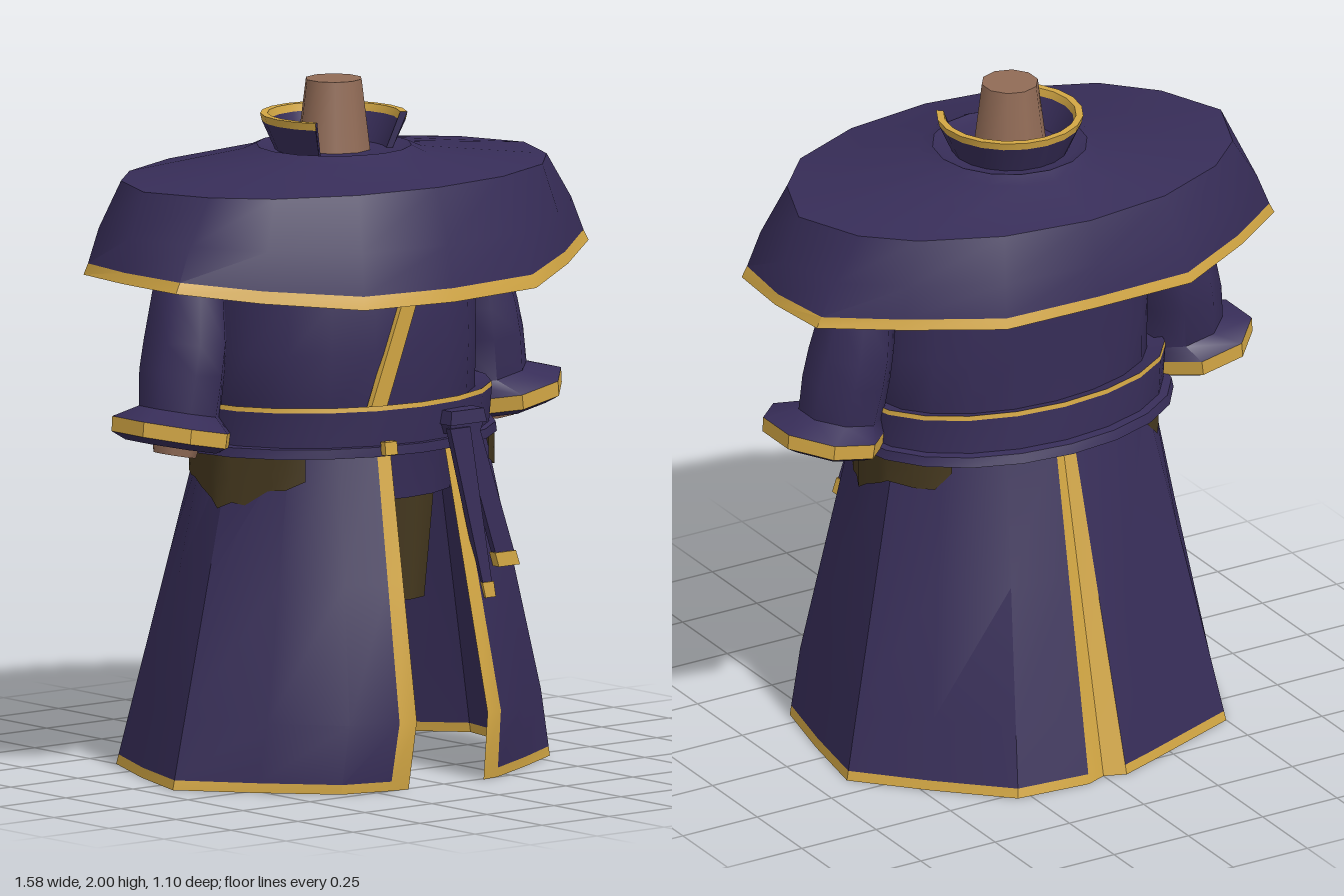
import * as THREE from 'three';
import { toCreasedNormals } from 'three/addons/utils/BufferGeometryUtils.js';

const flat = (name, color) => new THREE.MeshStandardMaterial({ name, color, side: THREE.DoubleSide });
const lerp = THREE.MathUtils.lerp;

// Sheet through rows of [x, y, z] points; keep(row, col) picks which cells belong to it
function sheet(rows, keep = () => true, crease = 0.75) {
  const pos = [];
  for (let r = 0; r < rows.length - 1; r++) {
    for (let c = 0; c < rows[r].length - 1; c++) {
      if (!keep(r, c)) continue;
      const a = rows[r][c], b = rows[r][c + 1], d = rows[r + 1][c], e = rows[r + 1][c + 1];
      pos.push(...a, ...d, ...b, ...b, ...d, ...e);
    }
  }
  const g = new THREE.BufferGeometry();
  g.setAttribute('position', new THREE.Float32BufferAttribute(pos, 3));
  return toCreasedNormals(g, crease);
}

// Closed egg-shaped ring with separate front and back depth
function ring(y, rx, zf, zb, n = 20) {
  return Array.from({ length: n + 1 }, (_, i) => {
    const a = (i / n) * Math.PI * 2, c = Math.cos(a);
    return [rx * Math.sin(a), y, c * (c > 0 ? zf : zb)];
  });
}

const flip = (p) => [-p[0], p[1], p[2]];
const mirrorLoop = (half) => [...half, ...half.slice(0, -1).reverse().map(flip)];
const mix = (a, b, t) => a.map((v, i) => lerp(v, b[i], t));
const level = (y, list) => list.map(([x, z]) => [x, y, z]);

// Thin tapering strip from point a to point b
function strip(a, b, wa, wb, depth) {
  const g = new THREE.BoxGeometry(1, 1, depth);
  const p = g.attributes.position;
  for (let i = 0; i < p.count; i++) {
    const t = 0.5 - p.getY(i), m = mix(a, b, t);
    p.setXYZ(i, m[0] + p.getX(i) * lerp(wa, wb, t), m[1], m[2] + p.getZ(i));
  }
  g.computeVertexNormals();
  return g;
}

export function createModel() {
  const purple = flat('purpleCloth', 0x372d58);
  const gold = flat('goldTrim', 0xd3a744);
  const skin = flat('skin', 0x916b56);
  const olive = flat('darkTrousers', 0x46391f);

  const model = new THREE.Group();
  model.name = 'robe';
  const add = (name, geo, mat, parent = model) => {
    const m = new THREE.Mesh(geo, mat);
    m.name = name;
    parent.add(m);
    return m;
  };

  // Neck
  add('neck', new THREE.CylinderGeometry(0.083, 0.113, 0.24, 10), skin).position.y = 1.88;

  // Shoulder cape: throat rings, top edge, bulging side, trimmed hem folded inward
  const hem = [[0, 1.415, 0.55], [0.32, 1.42, 0.53], [0.57, 1.445, 0.37], [0.77, 1.475, 0.22], [0.79, 1.48, 0],
    [0.77, 1.48, -0.2], [0.57, 1.485, -0.35], [0.31, 1.485, -0.5], [0, 1.485, -0.505]];
  const brim = level(1.74, [[0, 0.475], [0.27, 0.44], [0.5, 0.34], [0.63, 0.2], [0.71, 0],
    [0.63, -0.2], [0.5, -0.32], [0.27, -0.42], [0, -0.455]]);
  const throat = (y, r) => brim.map((_, i) => [r * Math.sin(i * Math.PI / 8), y, r * Math.cos(i * Math.PI / 8)]);
  const sideAt = (t, s) => brim.map((p, i) => mix(p, hem[i], t).map((v, k) => (k === 1 ? v : v * s)));
  const capeRows = [throat(1.795, 0.09), throat(1.795, 0.19), throat(1.808, 0.225), throat(1.79, 0.265),
    brim, sideAt(0.5, 1.015), sideAt(0.88, 1), hem, sideAt(1, 0.972), sideAt(0.88, 0.978)].map(mirrorLoop);
  add('cape', sheet(capeRows, (r) => r < 6), purple);
  add('capeTrim', sheet(capeRows, (r) => r >= 6), gold);

  // Stand-up collar, open at the front, with a trim band inside and out
  const arc = (y, r) => Array.from({ length: 15 }, (_, i) => {
    const a = lerp(0.94, Math.PI * 2 - 0.94, i / 14);
    return [r * Math.sin(a), y, r * Math.cos(a)];
  });
  const collarRows = [arc(1.79, 0.15), arc(1.878, 0.186), arc(1.9, 0.192), arc(1.9, 0.213), arc(1.878, 0.208), arc(1.79, 0.168)];
  const isBand = (r) => r >= 1 && r <= 3;
  add('collar', sheet(collarRows, (r) => !isBand(r)), purple);
  add('collarTrim', sheet(collarRows, isBand), gold);
  for (const c of [0, 14]) {
    const edge = collarRows.map((row) => row[c]);
    add('collarEnd', sheet([[edge[2], edge[3]], [edge[0], edge[5]]]), purple);
  }

  // Torso with a diagonal front edge
  add('torso', sheet([ring(1.72, 0.3, 0.2, 0.18), ring(1.6, 0.42, 0.33, 0.27), ring(1.4, 0.43, 0.37, 0.275),
    ring(1.25, 0.435, 0.372, 0.265), ring(1.08, 0.435, 0.36, 0.26), ring(0.95, 0.37, 0.34, 0.26), ring(0.815, 0.36, 0.33, 0.26)]), purple);
  add('torsoTrim', strip([-0.015, 1.43, 0.37], [-0.135, 1.09, 0.357], 0.055, 0.06, 0.02), gold);

  // Belt and the thin sash below it
  const beltRows = [ring(1.085, 0.42, 0.35, 0.25), ring(1.104, 0.488, 0.4, 0.31), ring(1.09, 0.49, 0.402, 0.312),
    ring(0.985, 0.48, 0.395, 0.32), ring(0.985, 0.41, 0.35, 0.25)];
  add('belt', sheet(beltRows, (r) => r !== 1), purple);
  add('beltTrim', sheet(beltRows, (r) => r === 1), gold);
  add('sash', sheet([ring(0.99, 0.45, 0.38, 0.31), ring(0.985, 0.505, 0.405, 0.345),
    ring(0.957, 0.51, 0.406, 0.355), ring(0.952, 0.42, 0.37, 0.3)]), purple);
  add('sashTrim', strip([-0.12, 1.0, 0.396], [-0.12, 0.962, 0.4], 0.045, 0.045, 0.02), gold);

  // Knot and hanging tails
  add('sashKnot', strip([0.145, 1.07, 0.405], [0.145, 1.03, 0.41], 0.12, 0.135, 0.055), purple);
  add('sashKnotBase', strip([0.145, 1.03, 0.405], [0.145, 1.0, 0.405], 0.125, 0.1, 0.045), purple);
  const tails = [[[0.16, 1.02, 0.415], [0.295, 0.6, 0.425], 0.065, 0.07, 0.9], [[0.115, 1.02, 0.425], [0.205, 0.52, 0.45], 0.075, 0.03, 0.91]];
  for (const [a, b, wa, wb, t] of tails) {
    const m = mix(a, b, t), wm = lerp(wa, wb, t);
    add('sashTail', strip(a, m, wa, wm, 0.02), purple);
    add('sashTailTip', strip(m, b, wm + 0.008, wb + 0.008, 0.028), gold);
  }

  // Skirt halves, each from the front slit round to the back seam; the hem has its own folds per side
  const waist = level(0.99, [[0.1, 0.375], [0.145, 0.37], [0.25, 0.33], [0.36, 0.24], [0.43, 0.06], [0.425, -0.07],
    [0.34, -0.19], [0.18, -0.28], [0.03, -0.305], [0, -0.29]]);
  const floors = {
    left: level(0, [[0.14, 0.51], [0.2, 0.5], [0.38, 0.405], [0.56, 0.3], [0.61, 0.07], [0.65, -0.17],
      [0.48, -0.35], [0.29, -0.53], [0.063, -0.55], [0, -0.525]]),
    right: level(0, [[0.14, 0.51], [0.2, 0.5], [0.35, 0.46], [0.52, 0.28], [0.675, 0.09], [0.6, -0.145],
      [0.5, -0.38], [0.17, -0.51], [0.063, -0.55], [0, -0.525]]),
  };
  const bulge = [0.055, 0.055, 0.04, 0.02];
  const isTrim = (r, c) => r === 3 || c === 0 || c === 8;

  // Lower edge of the ragged trouser patch at the hip: [z, y]
  const patchEdge = [[0.285, 0.89], [0.25, 0.865], [0.2, 0.86], [0.14, 0.815], [0.1, 0.82], [0.06, 0.8], [0.02, 0.825],
    [-0.04, 0.85], [-0.08, 0.872], [-0.15, 0.865], [-0.2, 0.87], [-0.22, 0.92]];

  // Sleeve rings: centre x, y, radius across, radius deep, tilt, centre z
  const sleeveRing = ([cx, cy, rx, rz, tilt, cz]) => Array.from({ length: 9 }, (_, i) => {
    const a = (i + 0.5) / 8 * Math.PI * 2, dx = rx * Math.cos(a) * 1.06;
    return [cx + dx, cy + dx * tilt, cz + rz * 1.06 * Math.sin(a)];
  });
  const sleeveRows = [[0.42, 1.66, 0.1, 0.11, 0, -0.02], [0.52, 1.45, 0.1, 0.105, 0, -0.025], [0.542, 1.29, 0.115, 0.128, 0.05, -0.015],
    [0.557, 1.2, 0.12, 0.125, 0.1, -0.012], [0.572, 1.085, 0.117, 0.11, 0.2, -0.005], [0.617, 1.053, 0.165, 0.177, 0.2, 0.013],
    [0.622, 1.01, 0.163, 0.176, 0.2, 0.013], [0.615, 0.99, 0.13, 0.14, 0.2, 0.013], [0.61, 0.985, 0.001, 0.001, 0.2, 0.01]].map(sleeveRing);

  for (const [side, s] of [['left', 1], ['right', -1]]) {
    const turn = (rows) => rows.map((row) => (s > 0 ? row : row.map(flip).reverse()));
    const floor = floors[side];
    const knee = waist.map((p, i) => {
      const m = mix(p, floor[i], 0.8);
      return [m[0], 0.2, m[2] + (bulge[i] || 0)];
    });
    const skirtRows = [waist, waist.map((p, i) => mix(p, knee[i], 0.5)), knee,
      knee.map((p, i) => mix(p, floor[i], 0.86)), floor];
    const colTrim = (r, c) => isTrim(r, s > 0 ? c : 8 - c);
    add(side + 'Skirt', sheet(turn(skirtRows), (r, c) => !colTrim(r, c), 0.5), purple);
    add(side + 'SkirtTrim', sheet(turn(skirtRows), colTrim, 0.5), gold);

    // Trouser patch, hanging straight down until it meets the skirt
    const skirtX = (z, y) => {
      const row = waist.map((p, i) => mix(p, knee[i], (0.99 - y) / 0.79));
      const i = row.findIndex((p, k) => k < row.length - 1 && p[2] >= z && row[k + 1][2] <= z);
      return mix(row[i], row[i + 1], (row[i][2] - z) / (row[i][2] - row[i + 1][2]))[0];
    };
    const patchRows = [0, 0.5, 1].map((t) => patchEdge.map(([z, low]) =>
      [skirtX(z, low) + 0.008, lerp(0.965, low, t), z]));
    add(side + 'HipPatch', sheet(turn(patchRows)), olive);

    const arm = new THREE.Group();
    arm.name = side + 'Arm';
    model.add(arm);
    add('sleeve', sheet(turn(sleeveRows), (r) => r !== 5, 0.95), purple, arm);
    add('cuffTrim', sheet(turn(sleeveRows), (r) => r === 5), gold, arm);
    const wrist = add('wrist', new THREE.CylinderGeometry(0.075, 0.062, 0.07, 8), skin, arm);
    wrist.position.set(s * 0.6, 0.997, 0.015);
    wrist.rotation.z = s * 0.2;

    // Upper leg inside the skirt
    add(side + 'Leg', new THREE.CylinderGeometry(0.15, 0.11, 0.45, 10), olive).position.set(s * 0.2, 0.695, 0);
  }
  return model;
}
